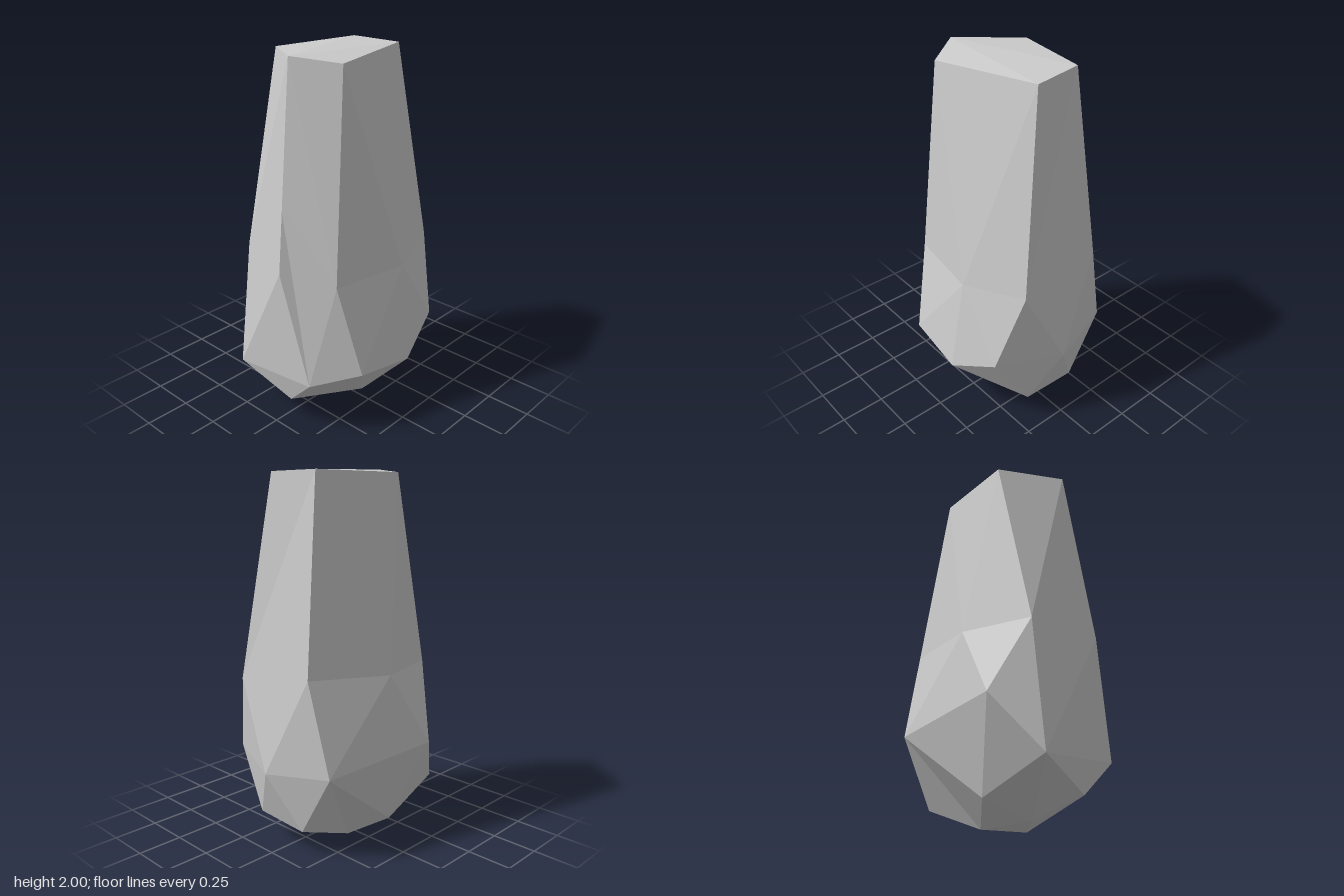
import * as THREE from 'three';

// Cross-section rings, each running from the front round by +x to the back and -x
const top = [[-0.23, 1.97, 0.25], [0.355, 1.99, 0.11], [0.32, 2, -0.17], [-0.16, 1.985, -0.28], [-0.38, 2, 0.04]];
const waist = [
  [0.105, 0.87, 0.38], [0.46, 0.92, 0.255], [0.445, 0.99, -0.235], [-0.01, 0.96, -0.38],
  [-0.39, 0.96, -0.29], [-0.52, 0.94, 0.085], [-0.465, 1.3, 0.05], [-0.34, 0.87, 0.31],
];
const belly = [
  [0.08, 0.33, 0.457], [0.37, 0.48, 0.385], [0.515, 0.45, 0.02], [0.41, 0.49, -0.35],
  [-0.25, 0.55, -0.46], [-0.47, 0.25, -0.305], [-0.475, 0.32, 0.24], [-0.275, 0.38, 0.432],
];
const foot = [
  [0.02, 0.03, 0.18], [0.41, 0.155, 0.18], [0.41, 0.14, -0.145], [0.055, 0, -0.14],
  [-0.1, 0.1, -0.31], [-0.2, 0.02, -0.06], [-0.43, 0.13, 0.05],
];

// Zips two rings together; each step advances along the upper (u) or lower (l) ring
function stitch(out, upper, lower, steps) {
  let i = 0, j = 0;
  for (const step of steps) {
    const a = upper[i % upper.length], b = lower[j % lower.length];
    const c = step === 'u' ? upper[++i % upper.length] : lower[++j % lower.length];
    out.push(...a, ...b, ...c);
  }
}

// Fills a polygon with a fan from its first corner
function fan(out, ring, order) {
  for (let k = 1; k < order.length - 1; k++) {
    out.push(...ring[order[0]], ...ring[order[k]], ...ring[order[k + 1]]);
  }
}

export function createModel() {
  const positions = [];

  // Sloping sides
  stitch(positions, top, waist, 'ulullululllul'.replace(' ', ''));
  stitch(positions, waist, belly, 'lulululululuulul');
  stitch(positions, belly, foot, 'luulullu' + 'ulluulu');

  // Flat crown and faceted underside
  fan(positions, top, [4, 0, 1, 2, 3]);
  for (const order of [[0, 3, 2, 1], [3, 5, 4], [0, 6, 5], [0, 5, 3]]) fan(positions, foot, order);

  const geometry = new THREE.BufferGeometry();
  geometry.setAttribute('position', new THREE.Float32BufferAttribute(positions, 3));
  geometry.computeVertexNormals();

  const rock = new THREE.Mesh(geometry, new THREE.MeshStandardMaterial({ color: 0xcccccc, flatShading: true }));
  rock.name = 'rock';

  const group = new THREE.Group();
  group.name = 'standingRock';
  group.add(rock);
  return group;
}
